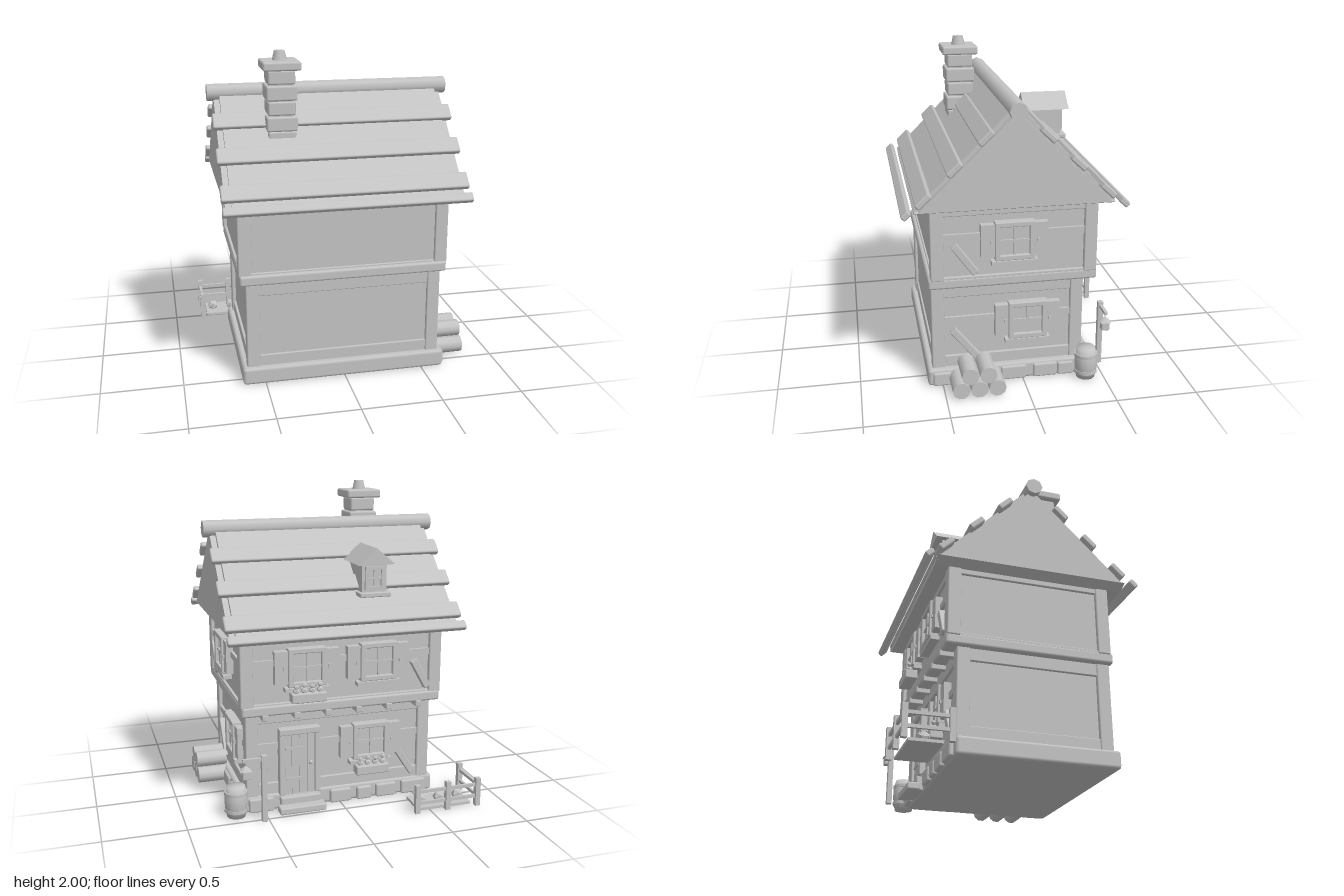
import * as THREE from 'three';
import { RoundedBoxGeometry } from 'three/addons/geometries/RoundedBoxGeometry.js';

export function createModel() {
  const house = new THREE.Group();
  house.name = 'timberHouse';
  const grey = new THREE.MeshStandardMaterial({ color: 0xc4c4c4 });
  grey.name = 'grey';
  const ZC = 0.057; // ridge line

  const add = (parent, name, geo, x = 0, y = 0, z = 0) => {
    const m = new THREE.Mesh(geo, grey);
    m.name = name;
    m.position.set(x, y, z);
    parent.add(m);
    return m;
  };
  // Box given by its limits; r is the chamfer
  const box = (parent, name, x0, x1, y0, y1, z0, z1, r = 0) => {
    const w = x1 - x0, h = y1 - y0, d = z1 - z0;
    const geo = r ? new RoundedBoxGeometry(w, h, d, 1, r) : new THREE.BoxGeometry(w, h, d);
    return add(parent, name, geo, (x0 + x1) / 2, (y0 + y1) / 2, (z0 + z1) / 2);
  };
  const cyl = (parent, name, rt, rb, h, n, x, y, z) =>
    add(parent, name, new THREE.CylinderGeometry(rt, rb, h, n).toNonIndexed(), x, y, z);
  const group = (name, parent = house) => {
    const g = new THREE.Group();
    g.name = name;
    parent.add(g);
    return g;
  };
  // Wall-facing group: local z points out of the wall, local x runs along it
  const face = (name, angle, x, z) => {
    const g = group(name);
    g.rotation.y = angle;
    g.position.set(x, 0, z);
    return g;
  };
  const prism = (halfW, h, depth) => {
    const s = new THREE.Shape([new THREE.Vector2(-halfW, 0), new THREE.Vector2(halfW, 0), new THREE.Vector2(0, h)]);
    return new THREE.ExtrudeGeometry(s, { depth, bevelEnabled: false }).translate(0, 0, -depth / 2);
  };

  // Plinth and wall cores
  box(house, 'plinth', -0.64, 0.64, 0, 0.11, -0.385, 0.59, 0.02);
  box(house, 'lowerWall', -0.585, 0.585, 0.1, 0.65, -0.355, 0.54);
  box(house, 'upperWall', -0.625, 0.625, 0.7, 1.15, -0.425, 0.54);
  box(house, 'floorBeam', -0.645, 0.645, 0.645, 0.71, -0.455, 0.575, 0.015);

  // Corner posts and rails of each storey
  const storey = (name, X, zb, zf, y0, y1, lowRail, topRail) => {
    const g = group(name);
    for (const sx of [-1, 1]) {
      const xa = sx > 0 ? X - 0.08 : -X, xb = sx > 0 ? X : -X + 0.08;
      box(g, 'cornerPost', xa, xb, y0, y1, zf - 0.08, zf, 0.008);
      box(g, 'cornerPost', xa, xb, y0, y1, zb, zb + 0.08, 0.008);
      const ra = sx > 0 ? X - 0.06 : -X + 0.008, rb = sx > 0 ? X - 0.008 : -X + 0.06;
      box(g, 'sideRail', ra, rb, y0, y0 + lowRail, zb + 0.04, zf - 0.04, 0.006);
      box(g, 'sideRail', ra, rb, y1 - topRail, y1, zb + 0.04, zf - 0.04, 0.006);
    }
    for (const [a, b] of [[zf - 0.06, zf - 0.008], [zb + 0.008, zb + 0.06]]) {
      box(g, 'rail', -X + 0.04, X - 0.04, y0, y0 + lowRail, a, b, 0.006);
      box(g, 'rail', -X + 0.04, X - 0.04, y1 - topRail, y1, a, b, 0.006);
    }
  };
  storey('lowerFrame', 0.61, -0.38, 0.56, 0.1, 0.65, 0.08, 0.08);
  storey('upperFrame', 0.65, -0.45, 0.56, 0.7, 1.14, 0.02, 0.04);

  // Window with frame, glazing bars, shutters and sill
  const windowUnit = (parent, x, y) => {
    const g = group('window', parent);
    g.position.set(x, y, 0);
    box(g, 'pane', -0.09, 0.09, -0.09, 0.09, -0.02, 0.018);
    for (const s of [-1, 1]) {
      box(g, 'frameSide', s * 0.104 - 0.016, s * 0.104 + 0.016, -0.12, 0.12, -0.02, 0.04, 0.006);
      box(g, 'frameRail', -0.12, 0.12, s * 0.104 - 0.016, s * 0.104 + 0.016, -0.02, 0.04, 0.006);
      box(g, 'shutter', s * 0.16 - 0.042, s * 0.16 + 0.042, -0.1, 0.105, -0.02, 0.025);
      box(g, 'shutterHandle', s * 0.14 - 0.008, s * 0.14 + 0.008, -0.01, 0.01, 0.02, 0.035);
    }
    box(g, 'barUpright', -0.007, 0.007, -0.09, 0.09, 0, 0.028);
    box(g, 'barAcross', -0.09, 0.09, -0.007, 0.007, 0, 0.028);
    box(g, 'sill', -0.14, 0.14, -0.15, -0.125, -0.02, 0.035);
  };
  // Planter with small blooms
  const flowerBox = (parent, x, y) => {
    const g = group('flowerBox', parent);
    g.position.set(x, y, 0);
    box(g, 'planter', -0.11, 0.11, -0.06, 0, 0, 0.08, 0.008);
    for (let i = 0; i < 4; i++) {
      const px = -0.075 + i * 0.05;
      add(g, 'leaves', new THREE.IcosahedronGeometry(0.022, 0), px, 0.01, 0.045);
      add(g, 'bloom', new THREE.IcosahedronGeometry(0.016, 0), px, 0.036 + (i % 2) * 0.008, 0.05);
    }
  };
  const brace = (parent, xa, ya, xb, yb) => {
    const len = Math.hypot(xb - xa, yb - ya);
    const m = add(parent, 'brace', new RoundedBoxGeometry(0.045, len, 0.045, 1, 0.006), (xa + xb) / 2, (ya + yb) / 2, -0.005);
    m.rotation.z = -Math.atan2(xb - xa, yb - ya);
  };

  // Right side wall (local x = -z)
  const rl = face('rightLowerDetails', Math.PI / 2, 0.605, 0);
  box(rl, 'midRail', -0.5, 0.33, 0.4, 0.44, -0.03, -0.003);
  brace(rl, -0.43, 0.355, -0.26, 0.14);
  windowUnit(rl, 0.03, 0.4);
  const ru = face('rightUpperDetails', Math.PI / 2, 0.645, 0);
  box(ru, 'midRail', -0.5, 0.4, 0.95, 0.99, -0.03, -0.003);
  brace(ru, -0.42, 0.92, -0.29, 0.74);
  windowUnit(ru, -0.06, 0.94);

  // Rear facade (local x = -x)
  const bl = face('facadeLowerDetails', Math.PI, 0, -0.375);
  box(bl, 'midRail', -0.55, 0.55, 0.4, 0.44, -0.03, -0.003);
  brace(bl, 0.36, 0.36, 0.5, 0.14);
  windowUnit(bl, 0.2, 0.4);
  flowerBox(bl, 0.2, 0.25);
  for (let i = 0; i < 6; i++) {
    const x = -0.5 + i * 0.2;
    box(bl, 'joistEnd', x - 0.02, x + 0.02, 0.615, 0.655, -0.03, 0.085, 0.006);
  }
  const bu = face('facadeUpperDetails', Math.PI, 0, -0.445);
  box(bu, 'midRail', -0.6, 0.6, 0.95, 0.99, -0.03, -0.003);
  brace(bu, 0.46, 0.92, 0.56, 0.74);
  windowUnit(bu, -0.24, 0.94);
  windowUnit(bu, 0.22, 0.94);
  flowerBox(bu, -0.24, 0.79);

  // Door and steps
  const door = group('door', bl);
  door.position.x = -0.27;
  for (let i = 0; i < 4; i++) box(door, 'doorPlank', -0.1 + i * 0.05, -0.052 + i * 0.05, 0.1, 0.5, -0.02, 0.018);
  for (const s of [-1, 1]) box(door, 'doorPost', s * 0.115 - 0.018, s * 0.115 + 0.018, 0.1, 0.53, -0.02, 0.035, 0.006);
  box(door, 'lintel', -0.133, 0.133, 0.495, 0.535, -0.02, 0.04, 0.006);
  for (const y of [0.2, 0.4]) box(door, 'hingeStrap', -0.09, 0.03, y - 0.01, y + 0.01, 0.01, 0.024);
  add(door, 'knob', new THREE.IcosahedronGeometry(0.014, 1), 0.07, 0.3, 0.028);
  box(door, 'upperStep', -0.13, 0.13, 0, 0.09, 0, 0.05, 0.01);
  box(door, 'lowerStep', -0.15, 0.15, 0, 0.045, 0.03, 0.11, 0.01);

  // Plinth stones on the facade and right side
  for (const [x, w] of [[-0.52, 0.16], [0, 0.14], [0.16, 0.1], [0.31, 0.14], [0.5, 0.17]])
    box(bl, 'plinthStone', x - w / 2, x + w / 2, 0.005, 0.08 + w * 0.1, 0, 0.035, 0.012);
  for (const [z, w] of [[0.06, 0.16], [-0.14, 0.15], [-0.27, 0.1], [0.5, 0.12]])
    box(house, 'plinthStone', 0.6, 0.655, 0.005, 0.08 + w * 0.1, z - w / 2, z + w / 2, 0.012);

  // Roof body with sloping soffit at the gables
  const roof = group('roof');
  add(roof, 'gableBody', prism(0.57, 0.56, 1.44), 0, 1.16, ZC).rotation.y = Math.PI / 2;
  const soffit = new THREE.BoxGeometry(1.44, 0.03, 1.18);
  const sp = soffit.attributes.position;
  for (let i = 0; i < sp.count; i++) if (sp.getY(i) < 0) sp.setX(i, sp.getX(i) * 0.9);
  soffit.computeVertexNormals();
  add(roof, 'soffit', soffit, 0, 1.147, ZC);
  for (const s of [-1, 1]) {
    const slab = add(roof, 'roofSlab', new THREE.BoxGeometry(1.37, 0.025, 0.82), 0, 1.445, ZC + s * 0.296);
    slab.rotation.x = s * Math.PI / 4;
    for (const [dz, y, len] of [[0.64, 1.157, 0.058], [0.541, 1.235, 0.108], [0.36, 1.41, 0.108], [0.18, 1.583, 0.108]]) {
      const p = add(roof, 'shingleBoard', new RoundedBoxGeometry(1.49, 0.038, len, 1, 0.01), 0.002, y, ZC + s * dz);
      p.rotation.x = s * 0.76;
    }
  }
  const ridge = cyl(roof, 'ridgeLog', 0.053, 0.053, 1.52, 8, 0, 1.73, ZC);
  ridge.rotation.set(0, 0, Math.PI / 2);

  // Chimney of stacked courses
  const chimney = group('chimney');
  chimney.position.set(-0.335, 0, 0.245);
  for (const [y0, y1, w] of [[1.47, 1.525, 0.17], [1.525, 1.615, 0.188], [1.62, 1.705, 0.168], [1.71, 1.8, 0.188], [1.805, 1.89, 0.165], [1.89, 1.943, 0.23]])
    box(chimney, 'chimneyCourse', -w / 2, w / 2, y0, y1, -w / 2, w / 2, 0.012);
  box(chimney, 'chimneyCore', -0.075, 0.075, 1.46, 1.93, -0.075, 0.075);
  cyl(chimney, 'chimneyPot', 0.032, 0.046, 0.06, 8, 0, 1.97, 0);

  // Dormer on the rear slope (local x = -x, local z = -z)
  const dormer = face('dormer', Math.PI, -0.207, 0);
  box(dormer, 'dormerBody', -0.08, 0.08, 1.35, 1.55, 0.12, 0.405);
  add(dormer, 'dormerRoof', prism(0.118, 0.1, 0.3), 0, 1.535, 0.3);
  box(dormer, 'dormerSill', -0.1, 0.1, 1.335, 1.363, 0.33, 0.44, 0.006);
  for (const s of [-1, 1]) {
    box(dormer, 'dormerFrame', s * 0.052 - 0.01, s * 0.052 + 0.01, 1.38, 1.52, 0.4, 0.42);
    box(dormer, 'dormerFrame', -0.062, 0.062, 1.45 + s * 0.06 - 0.01, 1.45 + s * 0.06 + 0.01, 0.4, 0.42);
  }
  box(dormer, 'dormerBar', -0.005, 0.005, 1.39, 1.51, 0.4, 0.415);
  box(dormer, 'dormerBar', -0.045, 0.045, 1.445, 1.455, 0.4, 0.415);

  // Log pile
  for (const [z, y] of [[0.41, 0.055], [0.3, 0.055], [0.19, 0.055], [0.355, 0.145], [0.245, 0.145]])
    cyl(house, 'log', 0.053, 0.053, 0.2, 10, 0.72, y, z).rotation.z = Math.PI / 2;

  // Barrel with hoops
  const profile = [[0, 0], [0.058, 0], [0.07, 0.06], [0.072, 0.1], [0.07, 0.14], [0.058, 0.2], [0, 0.2]];
  add(house, 'barrel', new THREE.LatheGeometry(profile.map(p => new THREE.Vector2(...p)), 12), 0.68, 0, -0.392);
  for (const y of [0.045, 0.155]) cyl(house, 'barrelHoop', 0.073, 0.073, 0.02, 12, 0.68, y, -0.392);

  // Lamp post with hanging lantern
  const lamp = group('lampPost');
  lamp.position.set(0.53, 0, -0.52);
  box(lamp, 'post', -0.017, 0.017, 0, 0.43, -0.017, 0.017, 0.004);
  box(lamp, 'arm', -0.02, 0.13, 0.395, 0.415, -0.01, 0.01);
  box(lamp, 'hook', 0.107, 0.113, 0.36, 0.4, -0.003, 0.003);
  box(lamp, 'lantern', 0.085, 0.135, 0.29, 0.345, -0.025, 0.025, 0.005);
  cyl(lamp, 'lanternCap', 0.008, 0.045, 0.028, 4, 0.11, 0.357, 0).rotation.y = Math.PI / 4;

  // Fenced garden bed
  const garden = group('garden');
  box(garden, 'soil', -0.78, -0.42, 0.003, 0.02, -0.675, -0.485);
  for (const [x, z] of [[-0.81, -0.705], [-0.605, -0.705], [-0.4, -0.705], [-0.81, -0.45]])
    box(garden, 'fencePost', x - 0.016, x + 0.016, 0.005, 0.19, z - 0.016, z + 0.016);
  for (const y of [0.07, 0.145]) {
    box(garden, 'fenceRail', -0.81, -0.4, y - 0.01, y + 0.01, -0.713, -0.697);
    box(garden, 'fenceRail', -0.818, -0.802, y - 0.01, y + 0.01, -0.705, -0.45);
  }
  for (const x of [-0.73, -0.6, -0.475])
    add(garden, 'cabbage', new THREE.IcosahedronGeometry(0.038, 0), x, 0.04, -0.583);

  return house;
}
